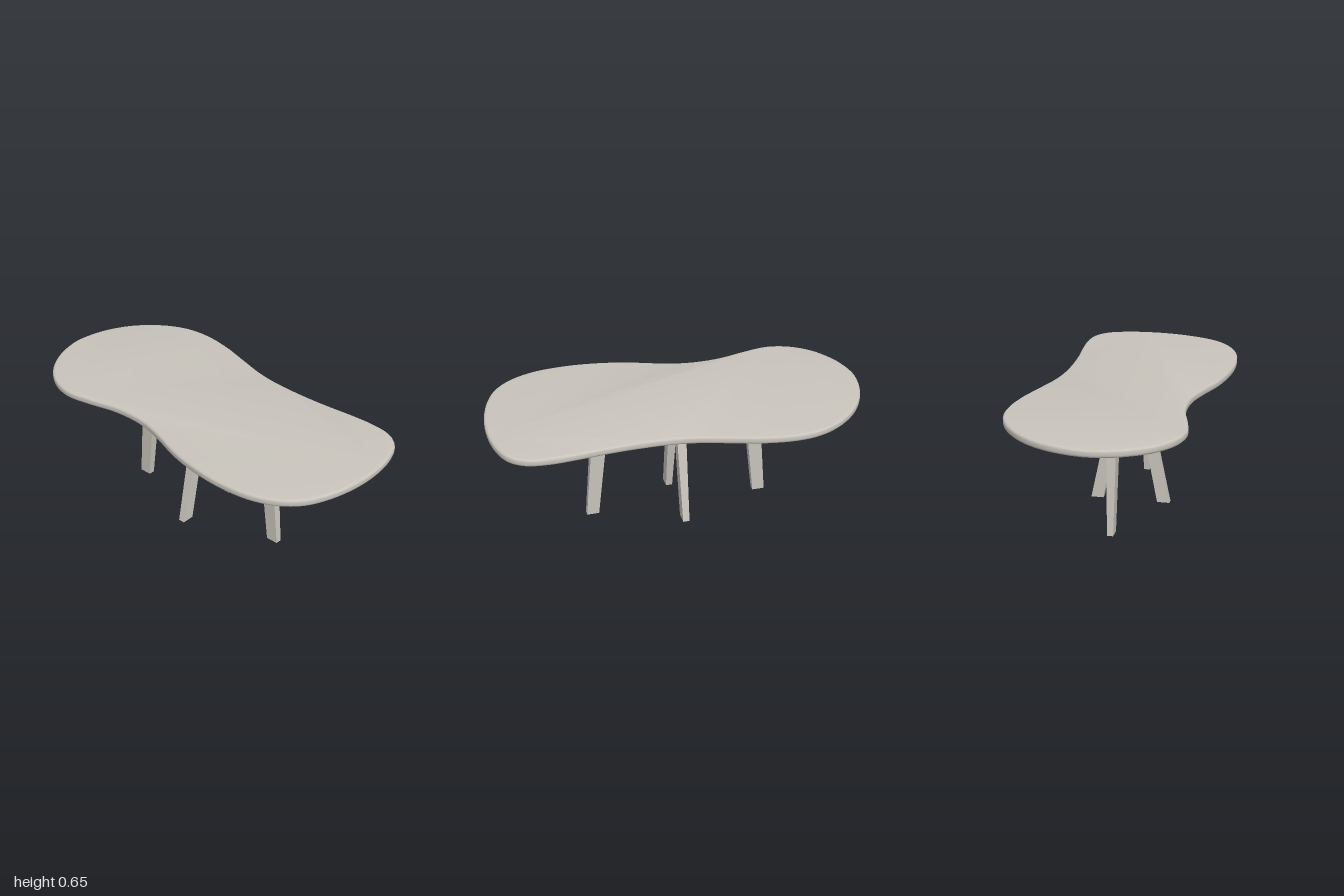
import * as THREE from 'three';
import { toCreasedNormals } from 'three/addons/utils/BufferGeometryUtils.js';

const TOP_Y = 0.65, UNDER_Y = 0.61;

// Outline of the tabletop as (x, z) points, clockwise from the -x end
const OUTLINE = [
  [-1, 0], [-0.965, -0.17], [-0.88, -0.32], [-0.75, -0.437], [-0.62, -0.495], [-0.49, -0.508],
  [-0.33, -0.487], [-0.17, -0.443], [0, -0.397], [0.13, -0.38], [0.28, -0.376], [0.45, -0.383],
  [0.6, -0.397], [0.74, -0.403], [0.85, -0.387], [0.93, -0.33], [0.977, -0.22], [0.997, -0.07],
  [0.988, 0.08], [0.95, 0.23], [0.89, 0.345], [0.8, 0.425], [0.67, 0.48], [0.5, 0.5],
  [0.33, 0.49], [0.16, 0.457], [0, 0.403], [-0.12, 0.37], [-0.24, 0.36], [-0.36, 0.37],
  [-0.5, 0.405], [-0.64, 0.428], [-0.76, 0.4], [-0.87, 0.322], [-0.95, 0.205], [-0.988, 0.1],
];

// Slab with a softly rounded rim
function tabletopGeometry() {
  const curve = new THREE.CatmullRomCurve3(OUTLINE.map(([x, z]) => new THREE.Vector3(x, -z, 0)), true);
  const points = curve.getSpacedPoints(144).slice(0, -1).map(p => new THREE.Vector2(p.x, p.y));
  const bevel = 0.012;
  const geo = new THREE.ExtrudeGeometry(new THREE.Shape(points), {
    depth: TOP_Y - UNDER_Y - 2 * bevel,
    bevelEnabled: true, bevelThickness: bevel, bevelSize: bevel, bevelOffset: -bevel, bevelSegments: 3,
  });
  geo.rotateX(-Math.PI / 2).translate(0, UNDER_Y + bevel, 0);
  return toCreasedNormals(geo, 0.6);
}

// Splayed, tapered leg leaning outwards along +x; each end is [inner, outer, halfThickness]
function legGeometry(top, bottom) {
  const geo = new THREE.BoxGeometry(1, 1, 1);
  const pos = geo.attributes.position;
  for (let i = 0; i < pos.count; i++) {
    const isTop = pos.getY(i) > 0;
    const [inner, outer, half] = isTop ? top : bottom;
    pos.setXYZ(i, pos.getX(i) > 0 ? outer : inner, isTop ? UNDER_Y : 0, Math.sign(pos.getZ(i)) * half);
  }
  geo.computeVertexNormals();
  return geo;
}

export function createModel() {
  const model = new THREE.Group();
  model.name = 'table';
  const finish = new THREE.MeshStandardMaterial({ color: 0xc8c4bc });
  finish.name = 'warm grey';

  const add = (parent, name, geo) => {
    const mesh = new THREE.Mesh(geo, finish);
    mesh.name = name;
    parent.add(mesh);
    return mesh;
  };

  add(model, 'tabletop', tabletopGeometry());

  // Base sits slightly off centre under the top
  const base = new THREE.Group();
  base.name = 'base';
  base.position.set(-0.01, 0, 0.016);
  model.add(base);

  const endLeg = legGeometry([0.365, 0.449, 0.0265], [0.434, 0.5, 0.0165]);
  const middleLeg = legGeometry([0.033, 0.085, 0.027], [0.148, 0.215, 0.0175]);
  add(base, 'leftLeg', endLeg);
  add(base, 'rightLeg', endLeg).rotation.y = Math.PI;
  add(base, 'frontLeg', middleLeg).rotation.y = -Math.PI / 2;
  add(base, 'backLeg', middleLeg).rotation.y = Math.PI / 2;

  // Rails joining the legs under the top
  const railHeight = 0.025, railY = UNDER_Y - railHeight / 2;
  add(base, 'longRail', new THREE.BoxGeometry(0.738, railHeight, 0.052)).position.y = railY;
  add(base, 'crossRail', new THREE.BoxGeometry(0.053, railHeight - 0.001, 0.076)).position.y = railY + 0.0005;

  return model;
}
